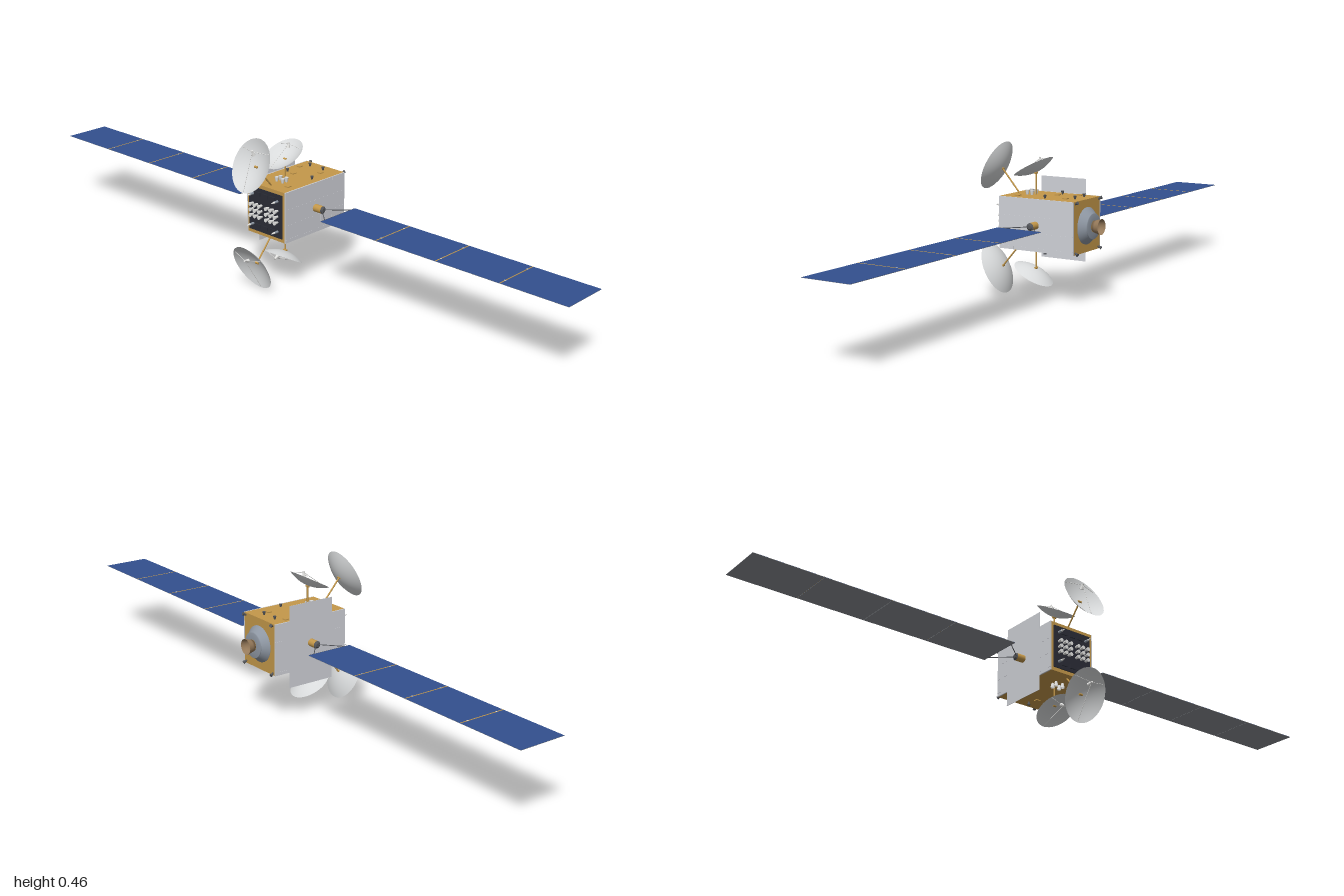
import * as THREE from 'three';

const mat = (name, color, side = THREE.FrontSide) => {
  const m = new THREE.MeshStandardMaterial({ color, side });
  m.name = name;
  return m;
};

export function createModel() {
  const gold = mat('gold foil', 0xc4984a);
  const grey = mat('radiator grey', 0xd0d2d8);
  const dishGrey = mat('dish light grey', 0xd8dadb, THREE.DoubleSide);
  const blue = mat('solar cell blue', 0x33508e);
  const backing = mat('panel backing', 0x888b90);
  const dark = mat('dark metal', 0x55575c);
  const navy = mat('front panel navy', 0x2a2c36);
  const steel = mat('engine steel', 0x8f98a4, THREE.DoubleSide);
  const bronze = mat('nozzle bronze', 0x967a5a, THREE.DoubleSide);
  const white = mat('horn white', 0xe4e4e2, THREE.DoubleSide);

  const model = new THREE.Group();
  model.name = 'satellite';
  const CY = 0.235;   // height of the bus centre
  const HZ = -0.022;  // wing axis

  const add = (parent, name, geo, material, x = 0, y = 0, z = 0) => {
    const m = new THREE.Mesh(geo, material);
    m.name = name;
    m.position.set(x, y, z);
    parent.add(m);
    return m;
  };
  const box = (parent, name, material, w, h, d, x, y, z) =>
    add(parent, name, new THREE.BoxGeometry(w, h, d), material, x, y, z);
  // straight rod or cone between two points
  const rod = (parent, name, material, a, b, r0, r1 = r0, sides = 8, open = false) => {
    const A = new THREE.Vector3(...a), B = new THREE.Vector3(...b);
    const dir = B.clone().sub(A);
    const m = add(parent, name, new THREE.CylinderGeometry(r1, r0, dir.length(), sides, 1, open), material);
    m.position.copy(A).add(B).multiplyScalar(0.5);
    m.quaternion.setFromUnitVectors(new THREE.Vector3(0, 1, 0), dir.normalize());
    return m;
  };

  // bus with radiator plates on both flanks
  box(model, 'bus', gold, 0.15, 0.156, 0.255, 0, CY, -0.0225);
  for (const s of [1, -1]) {
    box(model, 'sidePlate', grey, 0.004, 0.156, 0.255, s * 0.0765, CY, -0.0225);
    for (const z of [-0.095, -0.046, 0.056])
      box(model, 'plateSeam', grey, 0.0006, 0.155, 0.001, s * 0.0786, CY, z);
    for (const y of [-0.068, -0.024, 0.024])
      box(model, 'plateSeam', grey, 0.0006, 0.001, 0.253, s * 0.0786, CY + y, -0.0225);
  }
  box(model, 'tallRadiator', grey, 0.001, 0.25, 0.155, -0.0795, CY, -0.0225);

  // solar wings: boom, yoke and four panels each
  for (const s of [1, -1]) {
    const wing = new THREE.Group();
    wing.name = s > 0 ? 'leftWing' : 'rightWing';
    model.add(wing);
    rod(wing, 'wingHub', gold, [s * 0.078, CY, HZ], [s * 0.108, CY, HZ], 0.0115, 0.0115, 20);
    rod(wing, 'hubCap', dark, [s * 0.108, CY, HZ], [s * 0.113, CY, HZ], 0.0115, 0.006, 20);
    for (const e of [1, -1])
      rod(wing, 'yokeArm', dark, [s * 0.108, CY, HZ + e * 0.004], [s * 0.168, CY, HZ + e * 0.057], 0.0013);
    rod(wing, 'yokeBar', dark, [s * 0.167, CY, HZ - 0.07], [s * 0.167, CY, HZ + 0.07], 0.001);
    for (let i = 0; i < 4; i++) {
      const x = s * (0.2705 + i * 0.2085);
      box(wing, 'panelBacking', backing, 0.2075, 0.0008, 0.15, x, CY - 0.0004, HZ - 0.0005);
      box(wing, 'solarCells', blue, 0.2065, 0.0006, 0.149, x, CY + 0.0003, HZ - 0.0005);
      if (i) {
        box(wing, 'panelGap', gold, 0.0035, 0.0006, 0.149, x - s * 0.10425, CY + 0.0006, HZ - 0.0005);
        for (const e of [-0.05, 0.05])
          box(wing, 'panelHinge', white, 0.005, 0.002, 0.003, x - s * 0.10425, CY + 0.0004, HZ + e);
      }
    }
  }

  // oval dish with feed horn, struts and a mast down to the bus
  const dish = (name, y, z, ny, nz, R, depth, foot, top) => {
    const g = new THREE.Group();
    g.name = name;
    g.position.set(0, y, z);
    g.rotation.x = Math.atan2(nz, ny);
    model.add(g);
    const profile = [];
    for (let i = 0; i <= 10; i++) {
      const t = i / 10;
      profile.push(new THREE.Vector2(R * t, depth * (t * t - 1)));
    }
    add(g, 'reflector', new THREE.LatheGeometry(profile, 40), dishGrey).scale.x = 0.855;
    const f = [0, 0.012, -R * 0.48];
    rod(g, 'feedHorn', white, [0, 0.002, -R * 0.38], f, 0.006, 0.003, 14);
    rod(g, 'feedBack', white, f, [0, 0.015, -R * 0.51], 0.003, 0.003, 10);
    for (const a of [0, 2.2, -2.2]) {
      const c = [Math.sin(a) * R * 0.8, -0.002, Math.cos(a) * R * 0.94];
      rod(g, 'feedStrut', white, f, c, 0.0008, 0.0008, 6);
    }
    rod(model, name + 'Mast', gold, [0, ...foot], [0, ...top], 0.0024, 0.0024, 10);
    rod(model, name + 'MastJoint', gold, [-0.006, ...top], [0.006, ...top], 0.0035, 0.0035, 10);
  };
  for (const s of [1, -1]) {
    const Y = v => CY + s * v;
    const end = s > 0 ? 'upper' : 'lower';
    dish(end + 'FrontDish', Y(0.158), 0.165, s * 0.43, 0.9, 0.081, 0.024, [Y(0.076), 0.081], [Y(0.149), 0.144]);
    dish(end + 'DeckDish', Y(0.1625), 0.0335, s * 0.88, 0.47, 0.0665, 0.019, [Y(0.076), 0.025], [Y(0.144), 0.025]);

    // deck feed horns, thrusters and small housings
    for (const z of [0.032, 0.048]) for (const x of [-0.012, 0.012])
      rod(model, 'deckHorn', white, [x, Y(0.077), z], [x, Y(0.092), z], 0.0035, 0.0065, 14, true);
    for (const [x, z] of [[-0.05, -0.037], [0.05, -0.037], [0.018, -0.12], [-0.035, -0.12]])
      rod(model, 'deckThruster', dark, [x, Y(0.077), z], [x, Y(0.088), z], 0.002, 0.005, 12);
    for (const [x, z] of [[-0.025, -0.035], [0.03, -0.095], [-0.055, -0.095], [0.045, 0.06]])
      box(model, 'deckHousing', gold, 0.014, 0.004, 0.014, x, Y(0.079), z);
    for (const e of [1, -1]) {
      rod(model, 'cornerThruster', dark, [e * 0.066, Y(0.07), -0.148], [e * 0.07, Y(0.076), -0.16], 0.002, 0.005, 12);
      // front spike antennas
      rod(model, 'frontSpike', steel, [e * 0.05, Y(0.047), 0.105], [e * 0.05, Y(0.047), 0.122], 0.004, 0.0035, 10);
      rod(model, 'frontSpikeTip', white, [e * 0.05, Y(0.047), 0.122], [e * 0.05, Y(0.047), 0.135], 0.0035, 0.0008, 10);
    }
  }

  // front equipment panel with rows of feed horns
  box(model, 'frontPanel', navy, 0.134, 0.134, 0.005, 0, CY, 0.1055);
  for (const s of [1, -1])
    for (const i of [0, 1, 2]) for (const y of [-0.0175, 0, 0.0175]) {
      const x = s * (0.014 + i * 0.018);
      rod(model, 'frontHorn', white, [x, CY + y, 0.107], [x, CY + y, 0.123], 0.003, 0.006, 12);
    }
  for (const y of [-0.05, 0.05]) for (const x of [-0.03, 0, 0.03])
    box(model, 'frontUnit', navy, 0.02, 0.012, 0.004, x, CY + y, 0.109);

  // main engine on the back
  const lathe = (name, pts, material) => {
    const m = add(model, name, new THREE.LatheGeometry(pts.map(p => new THREE.Vector2(...p)), 36), material, 0, CY, -0.149);
    m.rotation.x = -Math.PI / 2;
  };
  lathe('engineSkirt', [[0.055, 0], [0.055, 0.003], [0.037, 0.022]], steel);
  lathe('engineCollar', [[0.038, 0.021], [0.038, 0.025], [0.017, 0.025]], steel);
  lathe('nozzle', [[0.0005, 0.0255], [0.017, 0.026], [0.02, 0.036], [0.0235, 0.05]], bronze);
  return model;
}
